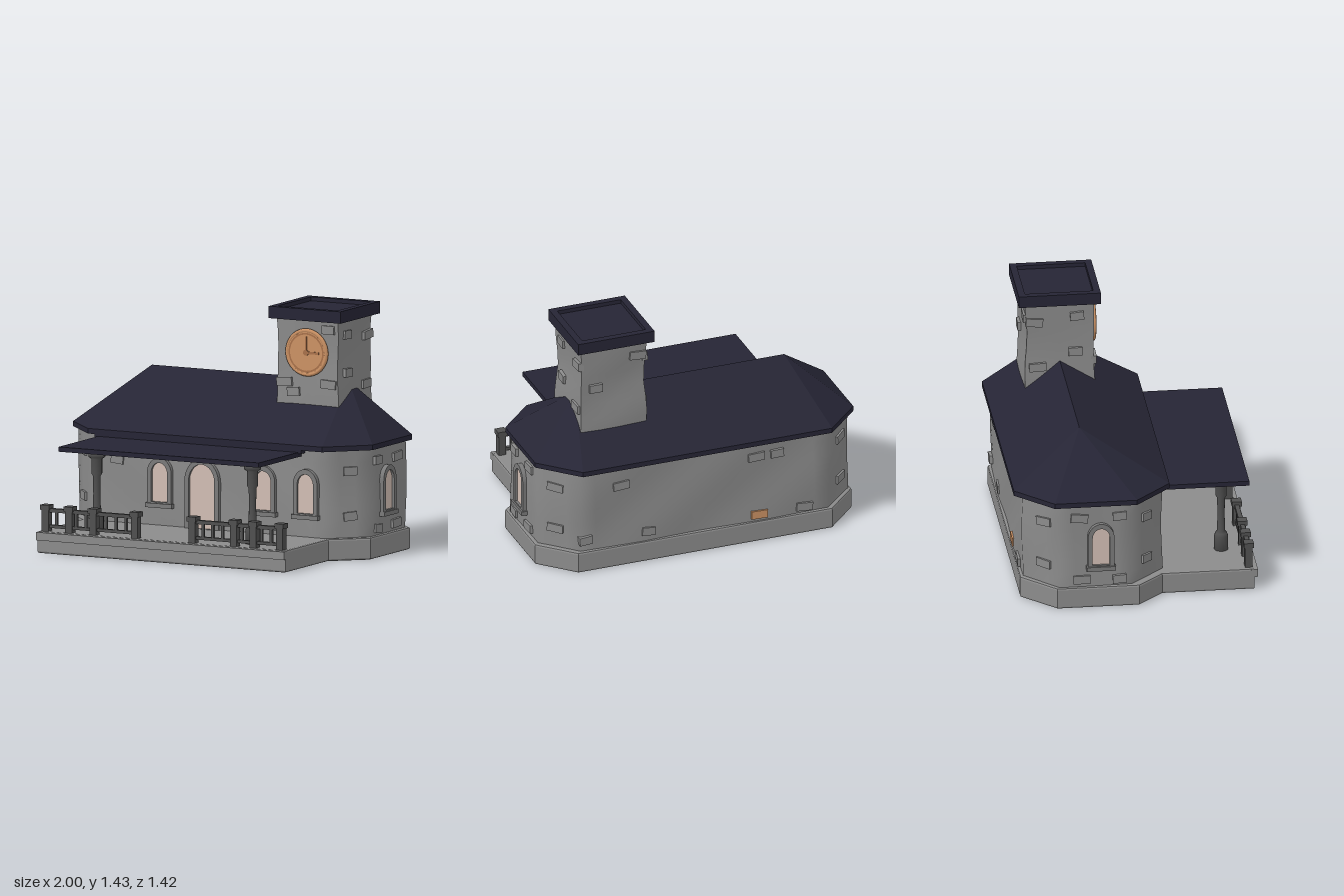
import * as THREE from 'three';
import { ConvexGeometry } from 'three/addons/geometries/ConvexGeometry.js';

const mat = (name, color, side = THREE.FrontSide) => {
  const m = new THREE.MeshStandardMaterial({ color, side });
  m.name = name;
  return m;
};

export function createModel() {
  const model = new THREE.Group();
  model.name = 'stationHouse';
  const stone = mat('stone', 0x8b8b8b);
  const slate = mat('slate', 0x262535);
  const iron = mat('darkStone', 0x505050);
  const trim = mat('windowTrim', 0x7a7a7a);
  const glass = mat('paleGlass', 0xd2beb4);
  const copper = mat('copper', 0xcc9264);
  const copperDark = mat('darkCopper', 0xa8714a);

  const add = (name, geo, material, parent = model) => {
    const m = new THREE.Mesh(geo, material);
    m.name = name;
    parent.add(m);
    return m;
  };
  // Box given by its lower and upper limits
  const box = (name, x0, x1, y0, y1, z0, z1, material) => {
    const m = add(name, new THREE.BoxGeometry(x1 - x0, y1 - y0, z1 - z0), material);
    m.position.set((x0 + x1) / 2, (y0 + y1) / 2, (z0 + z1) / 2);
    return m;
  };
  // Chamfered rectangle, counter-clockwise from above, as [x, z]
  const octagon = (x, zb, zf, c) => [
    [-x + c, zf], [x - c, zf], [x, zf - c], [x, zb + c],
    [x - c, zb], [-x + c, zb], [-x, zb + c], [-x, zf - c]];
  // Upright prism from a plan of [x, z] points
  const prism = (plan, y0, y1, bevel = 0) => {
    const shape = new THREE.Shape(plan.map(([x, z]) => new THREE.Vector2(x, -z)));
    const g = new THREE.ExtrudeGeometry(shape, {
      depth: y1 - y0 - 2 * bevel, bevelEnabled: bevel > 0, bevelSize: bevel,
      bevelThickness: bevel, bevelOffset: -bevel, bevelSegments: 2 });
    return g.rotateX(-Math.PI / 2).translate(0, y0 + bevel, 0);
  };

  // Foundation with the porch deck in front
  const basePlan = [
    [-0.84, 0.69], [0.8, 0.69], [0.8, 0.17], [0.985, 0], [0.985, -0.48], [0.79, -0.675],
    [-0.79, -0.675], [-0.985, -0.48], [-0.985, 0], [-0.84, 0.15]];
  add('foundation', prism(basePlan, 0, 0.13, 0.012), stone);
  box('deckEdge', -0.84, 0.8, 0.078, 0.125, 0.67, 0.71, stone);

  // Main walls: stacked rings, slightly uneven
  const ring = [];
  const corners = octagon(0.965, -0.66, 0.155, 0.195);
  corners.forEach((a, i) => {
    const b = corners[(i + 1) % 8];
    const n = Math.max(3, Math.round(Math.hypot(b[0] - a[0], b[1] - a[1]) / 0.09));
    for (let k = 0; k < n; k++) ring.push([a[0] + (b[0] - a[0]) * k / n, a[1] + (b[1] - a[1]) * k / n]);
  });
  const pos = [], index = [], rows = 6, count = ring.length;
  for (let j = 0; j <= rows; j++) {
    const y = 0.12 + 0.54 * j / rows;
    for (const [x, z] of ring)
      pos.push(x + 0.005 * Math.sin(9 * y + 6 * z), y, z + 0.005 * Math.sin(8 * x + 11 * y));
  }
  for (let j = 0; j < rows; j++) for (let i = 0; i < count; i++) {
    const a = j * count + i, b = j * count + (i + 1) % count;
    index.push(a, b, b + count, a, b + count, a + count);
  }
  const wallGeo = new THREE.BufferGeometry();
  wallGeo.setAttribute('position', new THREE.Float32BufferAttribute(pos, 3));
  wallGeo.setIndex(index);
  wallGeo.computeVertexNormals();
  add('walls', wallGeo, stone);

  // Hipped roof with a thin eave
  const eave = octagon(0.99, -0.71, 0.2, 0.215);
  const roofPoints = [0.642, 0.672].flatMap(y => eave.map(([x, z]) => new THREE.Vector3(x, y, z)));
  roofPoints.push(new THREE.Vector3(-0.63, 0.99, -0.31), new THREE.Vector3(0.67, 0.99, -0.31));
  add('mainRoof', new ConvexGeometry(roofPoints), slate);

  // Porch roof
  box('porchRoof', -0.71, 0.615, 0.602, 0.63, 0.16, 0.675, slate);
  box('porchLedger', -0.73, 0.635, 0.622, 0.645, 0.14, 0.2, slate);

  // Porch columns
  const profile = [[0, 0.125], [0.041, 0.125], [0.041, 0.215], [0.034, 0.235], [0.024, 0.245], [0.021, 0.35],
    [0.023, 0.455], [0.032, 0.47], [0.032, 0.555], [0.05, 0.567], [0.05, 0.588], [0.035, 0.604], [0, 0.604]];
  for (const x of [-0.535, 0.495]) {
    const g = new THREE.LatheGeometry(profile.map(p => new THREE.Vector2(...p)), 14);
    add('porchColumn', g, iron).position.set(x, 0, 0.53);
  }

  // Railings: posts with caps, two rails and balusters
  for (const posts of [[-0.795, -0.64, -0.48, -0.205], [0.175, 0.45, 0.58, 0.755]]) {
    const a = posts[0], b = posts[3];
    for (const x of posts) {
      box('railPost', x - 0.022, x + 0.022, 0.125, 0.26, 0.637, 0.681, iron);
      box('railPostCap', x - 0.029, x + 0.029, 0.255, 0.284, 0.63, 0.688, iron);
    }
    box('topRail', a, b, 0.242, 0.264, 0.646, 0.672, iron);
    box('bottomRail', a, b, 0.15, 0.168, 0.648, 0.67, iron);
    for (let k = 1; k < 9; k++) {
      const x = a + (b - a) * k / 9;
      box('baluster', x - 0.008, x + 0.008, 0.16, 0.25, 0.651, 0.667, iron);
    }
  }

  // Arched openings: raised frame, pane and optional sill
  const arch = (w, y0, y1, T = THREE.Shape) => {
    const s = new T(), r = w / 2, rise = w * 0.58;
    s.moveTo(-r, y0);
    s.lineTo(r, y0);
    s.lineTo(r, y1 - rise);
    s.absellipse(0, y1 - rise, r, rise, 0, Math.PI, false, 0);
    s.lineTo(-r, y0);
    return s;
  };
  const opening = (name, x, y, z, angle, w, h, sill) => {
    const g = new THREE.Group();
    g.name = name;
    const outer = arch(w, 0, h);
    outer.holes.push(arch(w - 0.055, sill ? 0.015 : 0.002, h - 0.03, THREE.Path));
    add('frame', new THREE.ExtrudeGeometry(outer, { depth: 0.04, bevelEnabled: false, curveSegments: 10 }), trim, g)
      .position.z = -0.015;
    add('pane', new THREE.ShapeGeometry(arch(w - 0.05, 0, h - 0.025), 10), glass, g).position.z = 0.01;
    if (sill) add('sill', new THREE.BoxGeometry(w + 0.015, 0.026, 0.05), trim, g).position.set(0, -0.006, 0.01);
    g.position.set(x, y, z);
    g.rotation.y = angle;
    model.add(g);
  };
  opening('door', -0.035, 0.13, 0.155, 0, 0.225, 0.41, false);
  for (const x of [-0.315, 0.37, 0.65]) opening('frontWindow', x, 0.255, 0.155, 0, 0.16, 0.275, true);
  for (const s of [1, -1]) opening('endWindow', s * 0.967, 0.255, -0.225, s * Math.PI / 2, 0.155, 0.275, true);

  // Tower shaft, gently bowed
  const towerGeo = new THREE.BoxGeometry(0.4, 0.66, 0.4, 4, 7, 4).translate(0.51, 1.04, -0.31);
  const tp = towerGeo.attributes.position;
  for (let i = 0; i < tp.count; i++) {
    const x = tp.getX(i), y = tp.getY(i), z = tp.getZ(i), k = 1 + 0.025 * Math.sin(11 * y - 1.5);
    tp.setXYZ(i, 0.51 + (x - 0.51) * k + 0.004 * Math.sin(17 * y + 9 * z), y,
      -0.31 + (z + 0.31) * k + 0.004 * Math.sin(15 * y + 9 * x));
  }
  towerGeo.computeVertexNormals();
  add('towerShaft', towerGeo, stone);

  // Tower cap: rim around a sunken top
  const rim = new THREE.Shape([[0.27, 0.075], [0.745, 0.075], [0.745, 0.555], [0.27, 0.555]]
    .map(p => new THREE.Vector2(...p)));
  rim.holes.push(new THREE.Path([[0.31, 0.115], [0.31, 0.515], [0.705, 0.515], [0.705, 0.115]]
    .map(p => new THREE.Vector2(...p))));
  add('towerCapRim', new THREE.ExtrudeGeometry(rim, { depth: 0.07, bevelEnabled: false })
    .rotateX(-Math.PI / 2).translate(0, 1.358, 0), slate);
  box('towerCapTop', 0.3, 0.715, 1.36, 1.405, -0.525, -0.105, slate);

  // Clock
  const clock = new THREE.Group();
  clock.name = 'clock';
  clock.position.set(0.51, 1.17, -0.1);
  model.add(clock);
  add('clockFace', new THREE.CylinderGeometry(0.13, 0.13, 0.02, 32).rotateX(Math.PI / 2), copper, clock);
  add('clockRing', new THREE.TorusGeometry(0.128, 0.013, 8, 36), copper, clock);
  add('clockGroove', new THREE.RingGeometry(0.106, 0.116, 36), copperDark, clock).position.z = 0.0105;
  add('minuteHand', new THREE.BoxGeometry(0.012, 0.1, 0.006), copperDark, clock).position.set(0, 0.045, 0.012);
  add('hourHand', new THREE.BoxGeometry(0.09, 0.014, 0.006), copperDark, clock).position.set(0.04, 0, 0.012);
  add('clockHub', new THREE.CylinderGeometry(0.017, 0.017, 0.01, 12).rotateX(Math.PI / 2), copperDark, clock)
    .position.z = 0.012;

  // Loose raised bricks
  let n = 0;
  const brick = (x, y, z, angle, material = stone) => {
    const m = add('brick', new THREE.BoxGeometry(0.08 + 0.02 * (n % 2), 0.05, 0.034), material);
    m.position.set(x, y, z);
    m.rotation.set(0, angle, 0.09 * Math.sin(n++ * 2.3), 'YXZ');
  };
  const q = Math.PI / 4;
  for (const s of [1, -1]) {
    for (const [z, y] of [[-0.115, 0.57], [-0.35, 0.565], [-0.115, 0.17], [-0.335, 0.175]])
      brick(s * 0.963, y, z, s * 2 * q);
    for (const y of [0.52, 0.255]) {
      brick(s * 0.875, y, 0.047, s * q);
      brick(s * 0.88, y, -0.543, s * 3 * q);
    }
    for (const [z, y] of [[-0.21, 1.275], [-0.46, 1.245], [-0.22, 1.05], [-0.44, 0.96]])
      brick(0.51 + s * 0.198, y, z, s * 2 * q);
  }
  brick(-0.6, 0.5, 0.153, 0);
  for (const [x, y] of [[0.36, 0.99], [0.65, 1.31], [0.65, 0.99], [0.42, 0.935]]) brick(x, y, -0.112, 0);
  for (const [x, y] of [[0.36, 1.27], [0.62, 1.1]]) brick(x, y, -0.508, Math.PI);
  for (const [x, y] of [[0.52, 0.52], [0.35, 0.19], [-0.32, 0.55], [-0.45, 0.55], [-0.62, 0.17], [0.74, 0.2]])
    brick(x, y, -0.658, Math.PI);
  brick(-0.34, 0.17, -0.656, Math.PI, copper);

  return model;
}
